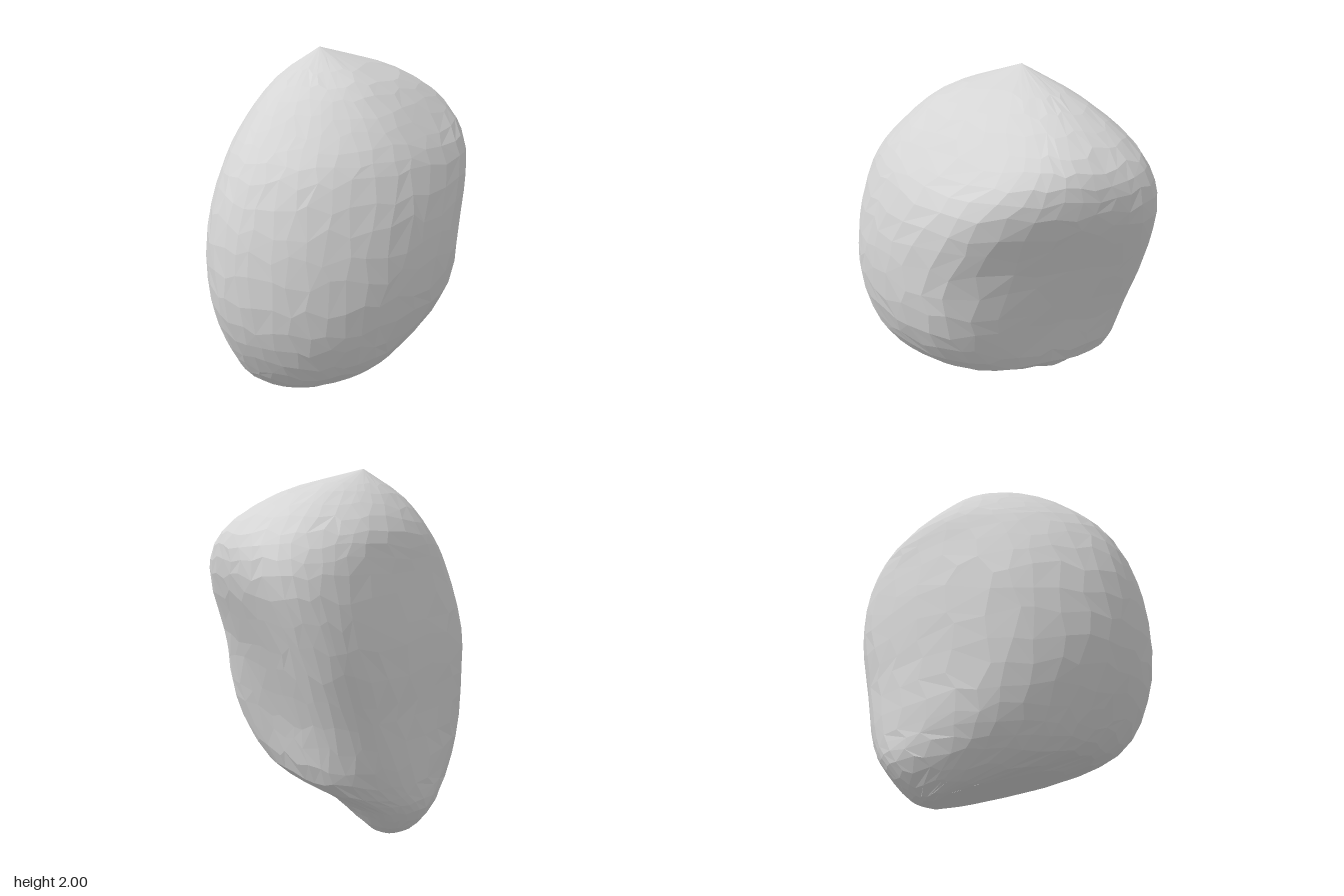
import * as THREE from 'three';

// Horizontal outlines of the boulder: height, then eight x,z pairs running
// front, front-right, +x side, back corner, back, back corner, -x side, front corner
const SECTIONS = [
  [0.04, -0.4, 0.16, -0.28, 0.13, -0.22, 0.03, -0.3, -0.08, -0.42, -0.13, -0.5, -0.1, -0.53, 0, -0.49, 0.1],
  [0.2, -0.04, 0.6, 0.22, 0.49, 0.28, 0.22, 0.08, -0.12, -0.42, -0.27, -0.6, -0.22, -0.66, 0, -0.41, 0.4],
  [0.38, 0.06, 0.73, 0.44, 0.55, 0.55, 0.2, 0.3, -0.34, -0.1, -0.48, -0.55, -0.46, -0.69, -0.15, -0.41, 0.51],
  [0.7, 0.1, 0.85, 0.5, 0.66, 0.68, 0.25, 0.5, -0.42, -0.15, -0.58, -0.57, -0.57, -0.69, -0.3, -0.39, 0.6],
  [1.1, 0.1, 0.85, 0.49, 0.66, 0.69, 0.18, 0.53, -0.46, -0.15, -0.72, -0.58, -0.71, -0.7, -0.45, -0.39, 0.59],
  [1.45, 0.08, 0.73, 0.43, 0.56, 0.6, 0.07, 0.4, -0.62, -0.1, -0.84, -0.53, -0.8, -0.66, -0.5, -0.38, 0.46],
  [1.65, 0.02, 0.57, 0.33, 0.42, 0.47, 0.04, 0.2, -0.67, -0.07, -0.81, -0.46, -0.73, -0.6, -0.4, -0.41, 0.29],
  [1.85, -0.06, 0.33, 0.13, 0.27, 0.24, 0.05, 0.06, -0.42, -0.12, -0.53, -0.34, -0.45, -0.42, -0.2, -0.32, 0.16],
];
const BASE = new THREE.Vector3(-0.41, 0, -0.02);
const PEAK = new THREE.Vector3(-0.19, 2, -0.02);
const COLS = 40, ROWS = 27;

// Small seeded generator giving values in -1..1
function seeded(seed) {
  return () => {
    seed = (seed * 16807) % 2147483647;
    return (seed / 2147483647) * 2 - 1;
  };
}

// Closed curve through the eight points of one outline
function outline([y, ...p]) {
  const pts = [];
  for (let i = 0; i < p.length; i += 2) pts.push(new THREE.Vector3(p[i], y, p[i + 1]));
  return new THREE.CatmullRomCurve3(pts, true, 'centripetal');
}

function boulderGeometry() {
  const rand = seeded(4711);
  const rings = SECTIONS.map(outline);

  // Point on the surface: u runs around, t runs from base to peak
  const surface = (u, t) => {
    const column = [BASE, ...rings.map(r => r.getPoint(u)), PEAK];
    return new THREE.CatmullRomCurve3(column, false, 'centripetal').getPoint(t);
  };

  // Grid of points, shifted along the surface so that the facets are irregular
  const position = [];
  for (let j = 0; j < COLS; j++) {
    for (let i = 0; i <= ROWS; i++) {
      const shift = i > 0 && i < ROWS ? 0.25 : 0;
      const u = (j + 0.5 + rand() * shift) / COLS;
      position.push(...surface(u, (i + rand() * shift) / ROWS).toArray());
    }
  }

  // Stitch neighbouring columns, alternating the diagonals at random
  const index = [];
  for (let j = 0; j < COLS; j++) {
    for (let i = 0; i < ROWS; i++) {
      const a = j * (ROWS + 1) + i, d = a + 1;
      const b = ((j + 1) % COLS) * (ROWS + 1) + i, c = b + 1;
      if (i === 0) index.push(a, c, d);
      else if (i === ROWS - 1) index.push(a, b, c);
      else if (rand() > 0) index.push(a, b, c, a, c, d);
      else index.push(a, b, d, b, c, d);
    }
  }
  const g = new THREE.BufferGeometry();
  g.setAttribute('position', new THREE.Float32BufferAttribute(position, 3));
  g.setIndex(index);
  const flat = g.toNonIndexed(); // separate faces for a faceted look
  flat.computeVertexNormals();
  return flat;
}

export function createModel() {
  const stone = new THREE.MeshStandardMaterial({ color: 0xd5d5d5 });
  stone.name = 'stone grey';
  const boulder = new THREE.Mesh(boulderGeometry(), stone);
  boulder.name = 'boulder';
  const group = new THREE.Group();
  group.name = 'rock';
  group.add(boulder);
  return group;
}
